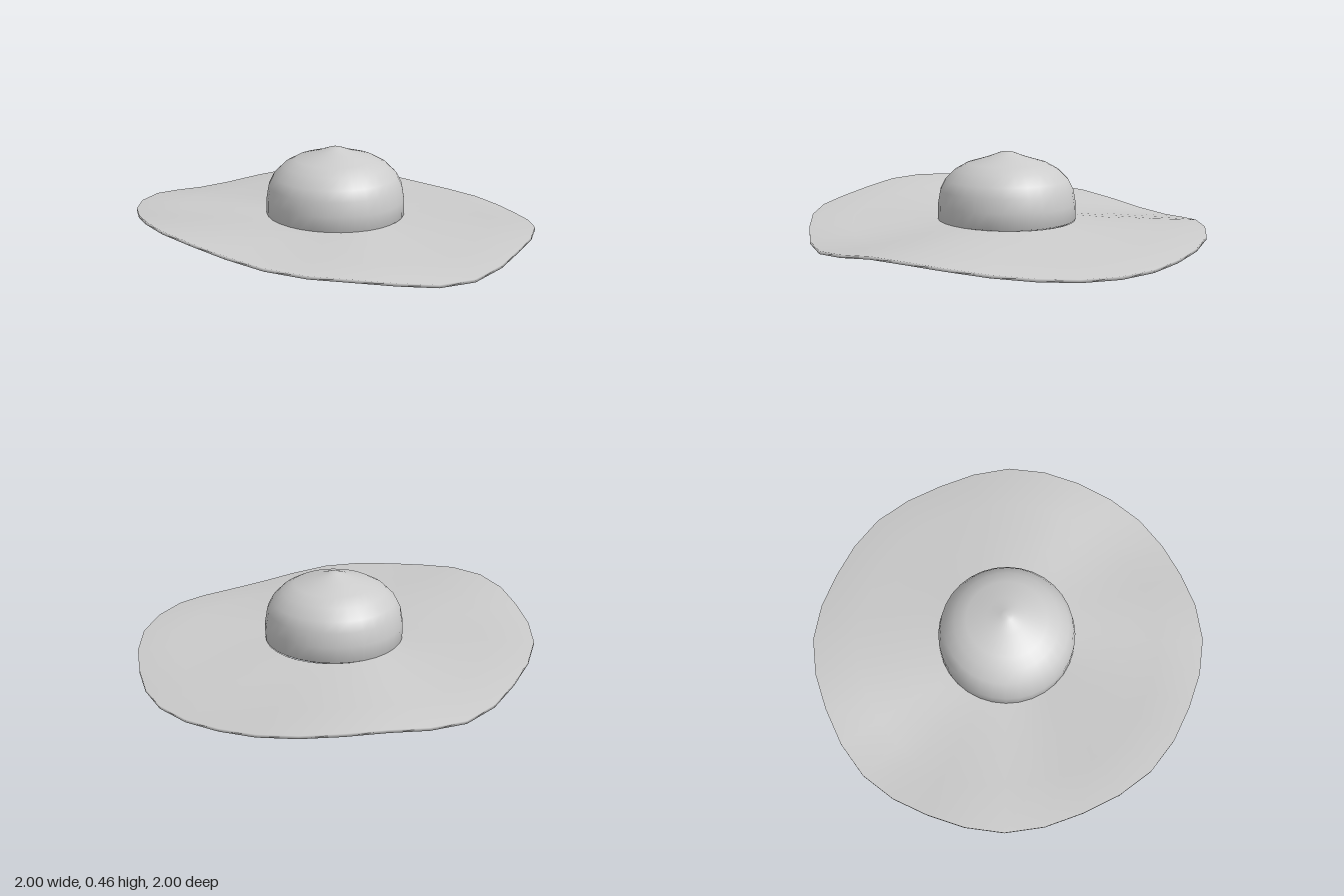
import * as THREE from 'three';
import { mergeVertices } from 'three/addons/utils/BufferGeometryUtils.js';

const SEGMENTS = 32;

// Rim heights from front centre to back centre; mirrored for the other side
const RIM = [0.225, 0.216, 0.19, 0.165, 0.148, 0.13, 0.098, 0.066, 0.055,
  0.07, 0.09, 0.09, 0.078, 0.055, 0.035, 0.023, 0.02];

// Smooth skin through rings; point(ring, segment) gives [radius, height]
function ringSurface(rings, point) {
  const positions = [], index = [];
  for (let i = 0; i < rings; i++) {
    for (let j = 0; j < SEGMENTS; j++) {
      const angle = (j / SEGMENTS) * Math.PI * 2;
      const [r, y] = point(i, j);
      positions.push(r * Math.sin(angle), y, r * Math.cos(angle));
    }
  }
  for (let i = 0; i < rings - 1; i++) {
    for (let j = 0; j < SEGMENTS; j++) {
      const k = (j + 1) % SEGMENTS;
      const a = i * SEGMENTS + j, b = i * SEGMENTS + k;
      const c = a + SEGMENTS, d = b + SEGMENTS;
      index.push(a, c, b, b, c, d);
    }
  }
  let geometry = new THREE.BufferGeometry();
  geometry.setAttribute('position', new THREE.Float32BufferAttribute(positions, 3));
  geometry.setIndex(index);
  geometry = mergeVertices(geometry, 1e-5);
  geometry.computeVertexNormals();
  return geometry;
}

export function createModel() {
  const hat = new THREE.Group();
  hat.name = 'wideBrimmedHat';
  const material = new THREE.MeshStandardMaterial({ color: 0xcccccc, side: THREE.DoubleSide });

  // Domed crown with a small point: outer skin down, inner skin back up
  const crownProfile = [
    [0, 0.462], [0.03, 0.458], [0.1, 0.432], [0.2, 0.403], [0.26, 0.37],
    [0.31, 0.32], [0.335, 0.27], [0.347, 0.2], [0.347, 0.122],
    [0.315, 0.105], [0.325, 0.2], [0.312, 0.265], [0.285, 0.31],
    [0.24, 0.352], [0.18, 0.385], [0.09, 0.412], [0, 0.435],
  ];
  const crown = new THREE.Mesh(ringSurface(crownProfile.length, i => crownProfile[i]), material);
  crown.name = 'crown';

  // Brim: straight spokes from the crown to a wavy rim, raised at the front
  const rimHeight = j => RIM[Math.min(j, SEGMENTS - j)];
  const spoke = [0, 0.33, 0.67, 1];
  const brim = new THREE.Mesh(ringSurface(spoke.length * 2, (i, j) => {
    const under = i >= spoke.length;
    const t = spoke[under ? spoke.length * 2 - 1 - i : i];
    const angle = (j / SEGMENTS) * Math.PI * 2;
    const rimRadius = 1 - 0.016 * Math.sin(4 * angle) ** 2;
    const hubRadius = under ? 0.315 : 0.345;
    const hubHeight = (under ? 0.105 : 0.122) + 0.005 * Math.cos(angle);
    const edge = rimHeight(j) - (under ? 0.015 : 0);
    return [THREE.MathUtils.lerp(hubRadius, rimRadius, t), THREE.MathUtils.lerp(hubHeight, edge, t)];
  }), material);
  brim.name = 'brim';

  hat.add(crown, brim);
  // Rest the lowest edge on the ground
  hat.position.y = -new THREE.Box3().setFromObject(hat).min.y;
  return hat;
}
